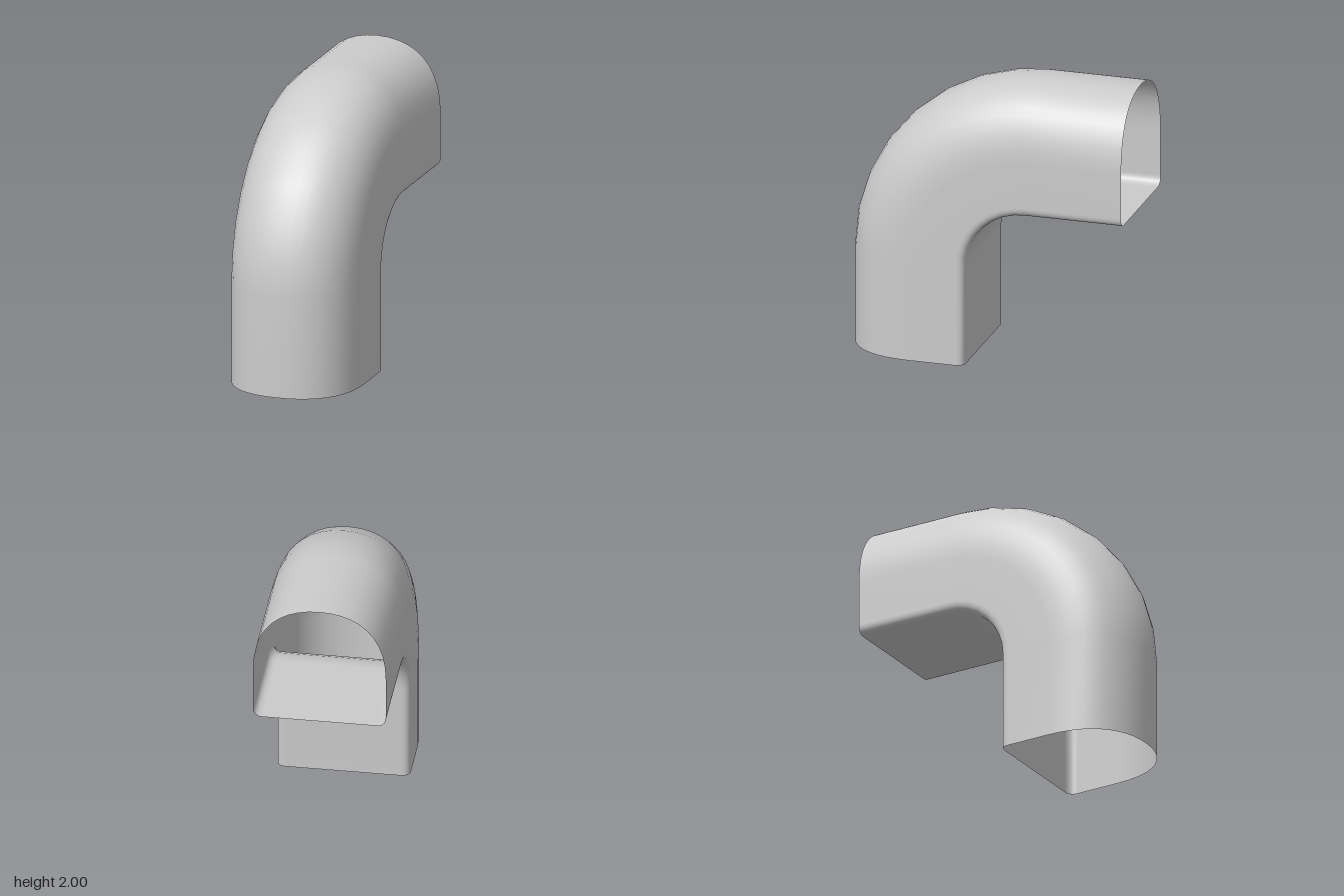
import * as THREE from 'three';

// D-shaped section: x across, y from the inner flat wall (0) to the outer crown (0.88)
function sectionPoints() {
  const w = 0.455, r = 0.065, h = 0.88, shoulder = 0.38;
  const s = new THREE.Shape();
  s.moveTo(-w + r, 0);
  s.lineTo(w - r, 0);
  s.quadraticCurveTo(w, 0, w, r);
  s.lineTo(w, shoulder);
  s.bezierCurveTo(w, 0.72, 0.27, h, 0, h);
  s.bezierCurveTo(-0.27, h, -w, 0.72, -w, shoulder);
  s.lineTo(-w, r);
  s.quadraticCurveTo(-w, 0, -w + r, 0);
  const pts = s.getPoints(10);
  if (pts[0].distanceTo(pts[pts.length - 1]) < 1e-6) pts.pop();
  return pts;
}

// Sweep the section up the leg, round the bend and back along the arm
function elbowGeometry() {
  const section = sectionPoints(), n = section.length;
  const innerRadius = 0.42, cy = 0.7, cz = -0.3, steps = 8;
  const rings = [{ a: 0, dy: -0.7, dz: 0 }];
  for (let i = 0; i <= steps; i++) {
    const a = i === steps ? Math.PI / 2 : THREE.MathUtils.degToRad(11.5 * i);
    rings.push({ a, dy: 0, dz: 0 });
  }
  rings.push({ a: Math.PI / 2, dy: 0, dz: -0.7 });

  const positions = [], index = [];
  rings.forEach(({ a, dy, dz }, i) => {
    section.forEach((p, j) => {
      const radius = innerRadius + p.y;
      positions.push(p.x, cy + radius * Math.sin(a) + dy, cz + radius * Math.cos(a) + dz);
      if (i === rings.length - 1) return;
      const k = (j + 1) % n;
      const p0 = i * n + j, p1 = i * n + k, q0 = p0 + n, q1 = p1 + n;
      index.push(p0, q0, p1, p1, q0, q1);
    });
  });
  const g = new THREE.BufferGeometry();
  g.setAttribute('position', new THREE.Float32BufferAttribute(positions, 3));
  g.setIndex(index);
  g.computeVertexNormals();
  return g;
}

export function createModel() {
  const model = new THREE.Group();
  model.name = 'pipeElbow';
  // Thin open shell, seen from inside and outside
  const material = new THREE.MeshStandardMaterial({ color: 0xcccccc, side: THREE.DoubleSide });
  const elbow = new THREE.Mesh(elbowGeometry(), material);
  elbow.name = 'elbowShell';
  model.add(elbow);
  return model;
}
